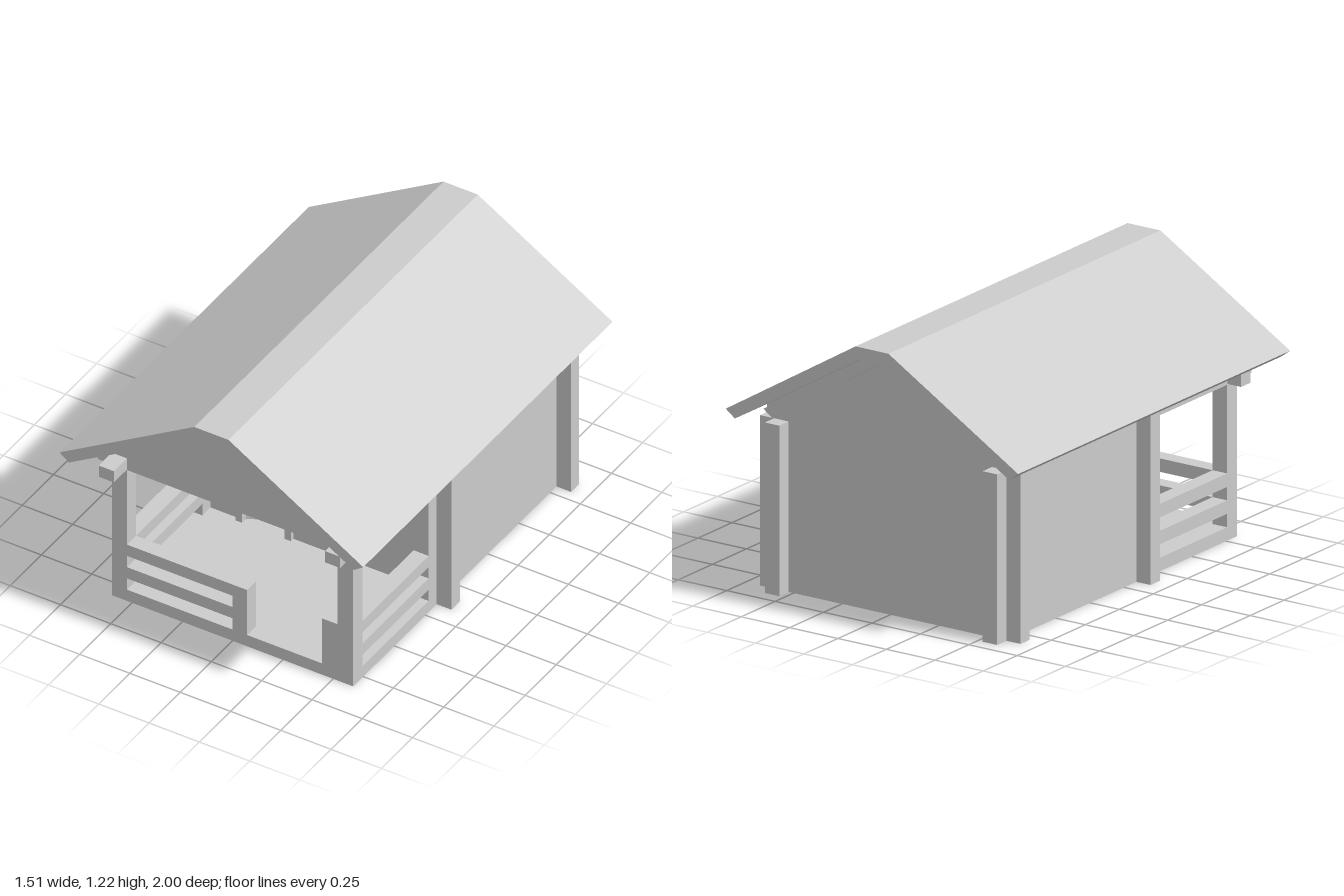
import * as THREE from 'three';

const grey = new THREE.MeshStandardMaterial({ color: 0xcccccc, flatShading: true });

const toPoints = (list) => list.map(([x, y]) => new THREE.Vector2(x, y));
const rect = (x0, x1, y0, y1) => [[x0, y0], [x1, y0], [x1, y1], [x0, y1]];
const flip = (list) => list.map(([x, y]) => [-x, y]);
// completes a right-half outline with its mirror image
const mirrored = (half) => [...half, ...flip(half).reverse()];
// roof band between an upper and a lower line, each given from eave to ridge
const chevron = (upper, lower) => [...mirrored(upper), ...flip(lower), ...[...lower].reverse()];

// outline with holes in the x-y plane, filling z0..z1
function slabGeometry(outline, holes, z0, z1) {
  const shape = new THREE.Shape(toPoints(outline));
  holes.forEach((h) => shape.holes.push(new THREE.Path(toPoints(h))));
  const geometry = new THREE.ExtrudeGeometry(shape, { depth: z1 - z0, bevelEnabled: false });
  return geometry.translate(0, 0, z0);
}

function add(parent, name, geometry) {
  const mesh = new THREE.Mesh(geometry, grey);
  mesh.name = name;
  parent.add(mesh);
  return mesh;
}

function box(parent, name, x0, x1, y0, y1, z0, z1) {
  const geometry = new THREE.BoxGeometry(x1 - x0, y1 - y0, z1 - z0);
  return add(parent, name, geometry.translate((x0 + x1) / 2, (y0 + y1) / 2, (z0 + z1) / 2));
}

// lintel with small drops at both ends
function lintel(parent, name, x0, x1) {
  add(parent, name, slabGeometry([
    [x0, 0.54], [x0 + 0.012, 0.54], [x1 - 0.012, 0.54], [x1, 0.54], [x1, 0.567], [x0, 0.567],
  ], [], 0.15, 0.19));
}

function buildDoor(house) {
  // frame
  const frame = new THREE.Group();
  frame.name = 'doorFrame';
  lintel(frame, 'doorLintel', -0.395, -0.1);
  box(frame, 'doorJambLeft', -0.145, -0.112, 0.06, 0.54, 0.15, 0.18);
  box(frame, 'doorJambRight', -0.387, -0.355, 0.06, 0.54, 0.15, 0.18);
  house.add(frame);

  // leaf standing ajar into the room
  const door = new THREE.Group();
  door.name = 'door';
  box(door, 'doorLeaf', 0, 0.205, 0.06, 0.54, -0.02, 0);
  box(door, 'doorPanel', 0.01, 0.193, 0.075, 0.525, -0.022, 0.002);
  for (const side of [1, -1]) {
    const rosette = add(door, 'handleRosette', new THREE.CylinderGeometry(0.012, 0.012, 0.016, 16));
    rosette.rotation.x = Math.PI / 2;
    rosette.position.set(0.178, 0.315, -0.01 + side * 0.016);
    const lever = add(door, 'handleLever', new THREE.CylinderGeometry(0.006, 0.006, 0.035, 10));
    lever.rotation.z = Math.PI / 2;
    lever.position.set(0.165, 0.315, -0.01 + side * 0.028);
  }
  door.position.set(-0.355, 0, 0.15);
  door.rotation.y = 0.53;
  house.add(door);
}

function buildWindow(house) {
  const win = new THREE.Group();
  win.name = 'window';
  lintel(win, 'windowLintel', 0.115, 0.375);
  box(win, 'windowSill', 0.115, 0.373, 0.317, 0.345, 0.15, 0.19);
  box(win, 'windowJambRight', 0.127, 0.155, 0.345, 0.54, 0.15, 0.18);
  box(win, 'windowJambLeft', 0.337, 0.363, 0.345, 0.54, 0.15, 0.18);
  // sash with four panes
  const panes = [];
  for (const x of [0.165, 0.25]) {
    for (const y of [0.362, 0.452]) panes.push(rect(x, x + 0.07, y, y + 0.073));
  }
  add(win, 'windowSash', slabGeometry(rect(0.155, 0.337, 0.345, 0.54), panes, 0.11, 0.145));
  house.add(win);
}

export function createModel() {
  const house = new THREE.Group();
  house.name = 'cabin';

  box(house, 'floor', -0.6, 0.6, 0, 0.06, -0.86, 0.83);

  // gable walls whose ends cross the side walls
  const wall = mirrored([[0.673, 0], [0.673, 0.76], [0.6, 0.76], [0.6, 0.765], [0.03, 1.12]]);
  add(house, 'backWall', slabGeometry(wall, [], -0.865, -0.8));
  add(house, 'frontWall', slabGeometry(wall, [
    rect(-0.355, -0.145, 0.06, 0.54),
    rect(0.155, 0.337, 0.345, 0.54),
  ], 0.09, 0.16));

  // side walls with the open porch bay, railing and projecting beam end
  const sideOutline = [
    [-0.933, 0], [0.83, 0], [0.83, 0.7], [0.935, 0.7], [0.935, 0.76], [-0.933, 0.76],
  ];
  const sideHoles = [
    rect(0.225, 0.757, 0.06, 0.12),
    rect(0.225, 0.757, 0.18, 0.24),
    rect(0.225, 0.757, 0.3, 0.695),
  ];
  for (const [name, x] of [['leftWall', 0.6], ['rightWall', -0.525]]) {
    const geometry = slabGeometry(sideOutline, sideHoles, -x, -x + 0.075);
    add(house, name, geometry.rotateY(-Math.PI / 2));
  }

  // porch front: posts, railing, entrance and gable
  add(house, 'porchFront', slabGeometry(
    mirrored([[0.6, 0], [0.6, 0.765], [0.03, 1.12]]),
    [
      [[-0.525, 0.3], [0.072, 0.3], [0.072, 0.06], [0.445, 0.06],
        [0.445, 0.3], [0.522, 0.3], [0.522, 0.7], [-0.525, 0.7]],
      rect(-0.525, 0, 0.06, 0.12),
      rect(-0.525, 0, 0.18, 0.24),
    ], 0.757, 0.83));
  box(house, 'porchBeam', -0.67, 0.667, 0.698, 0.76, 0.76, 0.83);

  buildDoor(house);
  buildWindow(house);

  // roof: inner boarding, recessed spacer and wide outer roof
  add(house, 'roofBoarding', slabGeometry(
    chevron([[0.645, 0.798], [0.052, 1.153]], [[0.6, 0.765], [0.03, 1.12]]), [], -0.88, 0.84));
  add(house, 'roofSpacer', slabGeometry(
    chevron([[0.64, 0.825], [0.056, 1.175]], [[0.64, 0.795], [0.05, 1.145]]), [], -0.86, 0.82));
  add(house, 'roof', slabGeometry(
    chevron([[0.755, 0.81], [0.085, 1.217]], [[0.708, 0.775], [0.056, 1.167]]), [], -1, 1));

  return house;
}
